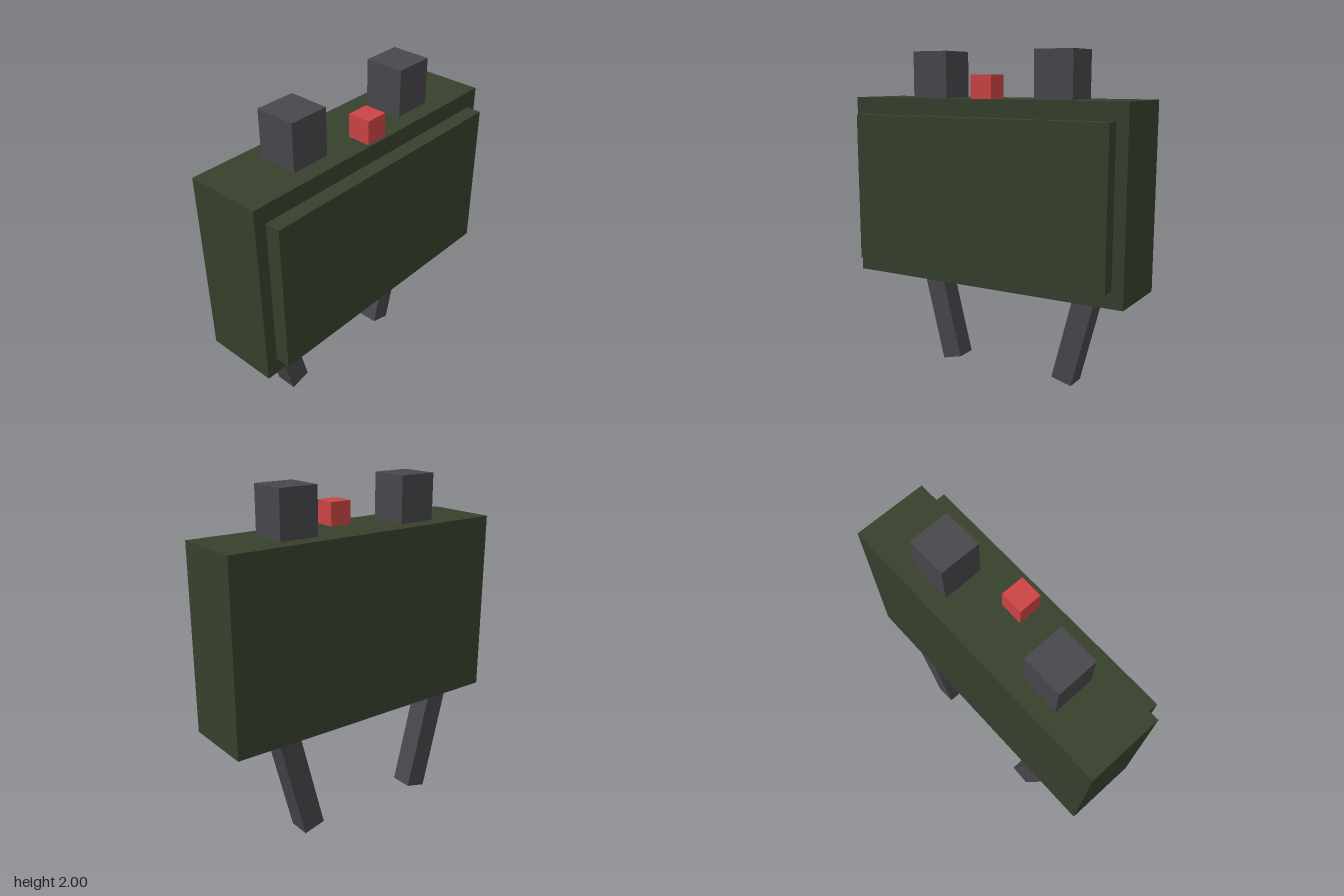
import * as THREE from 'three';

export function createModel() {
  const model = new THREE.Group();
  const material = (name, color) => {
    const m = new THREE.MeshStandardMaterial({ color });
    m.name = name;
    return m;
  };
  const green = material('olive green', 0x36412d);
  const grey = material('dark grey', 0x48474c);
  const red = material('red', 0xcc4444);

  // Box given by its lower and upper corners
  const addBox = (name, mat, [x0, y0, z0], [x1, y1, z1]) => {
    const mesh = new THREE.Mesh(new THREE.BoxGeometry(x1 - x0, y1 - y0, z1 - z0), mat);
    mesh.position.set((x0 + x1) / 2, (y0 + y1) / 2, (z0 + z1) / 2);
    mesh.name = name;
    model.add(mesh);
  };

  // Casing with a raised front plate
  addBox('casing', green, [-0.897, 0.625, -0.268], [0.897, 1.725, 0.178]);
  addBox('frontPlate', green, [-0.828, 0.725, 0.17], [0.828, 1.622, 0.268]);

  // Central red block on top
  addBox('topButton', red, [-0.068, 1.7, 0.024], [0.068, 1.862, 0.16]);

  for (const side of [-1, 1]) {
    const label = side > 0 ? 'left' : 'right';

    // Square caps on top
    const cx = side * 0.413;
    addBox(label + 'Cap', grey, [cx - 0.119, 1.7, -0.165], [cx + 0.119, 2, 0.075]);

    // Legs leaning outward to the casing, pivoted at the foot
    const geometry = new THREE.BoxGeometry(0.135, 0.68, 0.135).translate(0, 0.34, 0);
    const leg = new THREE.Mesh(geometry, grey);
    leg.position.set(side * 0.4, 0.02, -0.179);
    leg.rotation.z = -side * 0.25;
    leg.name = label + 'Leg';
    model.add(leg);
  }
  return model;
}
